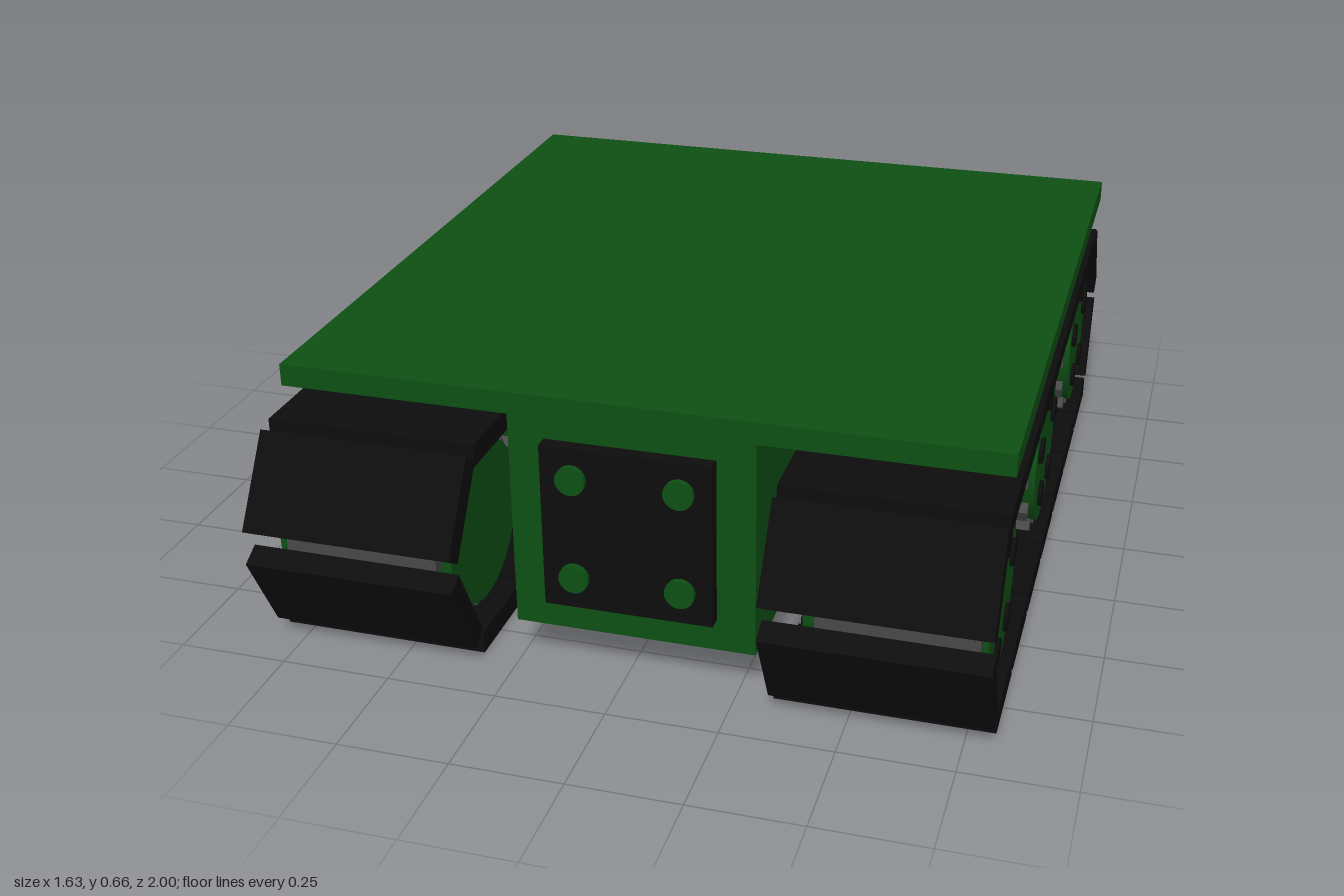
import * as THREE from 'three';

const green = new THREE.MeshStandardMaterial({ color: 0x0e5014 });
const black = new THREE.MeshStandardMaterial({ color: 0x0d0d0d });
const grey = new THREE.MeshStandardMaterial({ color: 0x484848 });

function add(parent, name, geometry, material, x = 0, y = 0, z = 0) {
  const mesh = new THREE.Mesh(geometry, material);
  mesh.name = name;
  mesh.position.set(x, y, z);
  parent.add(mesh);
  return mesh;
}

// Box given by its lower and upper corners
function addBox(parent, name, material, [x0, y0, z0], [x1, y1, z1]) {
  return add(parent, name, new THREE.BoxGeometry(x1 - x0, y1 - y0, z1 - z0), material,
    (x0 + x1) / 2, (y0 + y1) / 2, (z0 + z1) / 2);
}

// Bolted plate on one end of the hull
function endPlate(z0, z1, boltTip) {
  const group = new THREE.Group();
  group.name = 'endPlate';
  addBox(group, 'plate', black, [-0.17, 0.18, z0], [0.205, 0.56, z1]);
  const outer = boltTip > 0 ? z1 : z0;
  const bolt = new THREE.CylinderGeometry(0.033, 0.033, Math.abs(boltTip - outer) * 2, 24).rotateX(Math.PI / 2);
  for (const x of [-0.1, 0.135])
    for (const y of [0.255, 0.49]) add(group, 'bolt', bolt, green, x, y, outer);
  return group;
}

// Drum with 12 drive bars and five dark spots on the outer face
function wheel(xIn, xOut, barIn, barOut) {
  const group = new THREE.Group();
  group.name = 'wheel';
  const side = Math.sign(xOut);
  const drum = new THREE.CylinderGeometry(0.187, 0.187, Math.abs(xOut - xIn), 40).rotateZ(Math.PI / 2);
  add(group, 'drum', drum, green, (xIn + xOut) / 2);
  const bar = new THREE.BoxGeometry(Math.abs(barOut - barIn), 0.05, 0.035);
  for (let i = 0; i < 12; i++) {
    const a = i * Math.PI / 6;
    add(group, 'driveBar', bar, grey, (barIn + barOut) / 2, 0.19 * Math.cos(a), 0.19 * Math.sin(a)).rotation.x = a;
  }
  const spot = new THREE.CylinderGeometry(0.031, 0.031, 0.012, 24).rotateZ(Math.PI / 2);
  for (let i = 0; i < 5; i++) {
    const a = i * Math.PI * 0.4;
    add(group, 'wheelSpot', spot, black, xOut + side * 0.003, 0.122 * Math.cos(a), 0.122 * Math.sin(a));
  }
  return group;
}

// Loop of separate flat plates: [y, z, tilt in degrees]
function track(x) {
  const group = new THREE.Group();
  group.name = 'track';
  const links = [
    [0.4, 0.917, 57], [0.153, 0.925, -62],
    [0.39, -0.917, -57], [0.158, -0.925, 67],
  ];
  for (const z of [0.727, 0.487, 0.24, -0.003, -0.246, -0.487, -0.727]) links.push([0.49, z, 0]);
  for (let i = 0; i < 7; i++) links.push([0.028, 0.735 - i * 0.248, 0]);
  const plate = new THREE.BoxGeometry(0.48, 0.052, 0.225);
  for (const [y, z, tilt] of links)
    add(group, 'trackLink', plate, black, x, y, z).rotation.x = THREE.MathUtils.degToRad(tilt);
  return group;
}

export function createModel() {
  const model = new THREE.Group();
  model.name = 'trackedVehicle';

  // Hull and flat deck
  addBox(model, 'hull', green, [-0.25, 0.105, -0.828], [0.29, 0.612, 0.85]);
  addBox(model, 'deck', green, [-0.765, 0.61, -0.82], [0.815, 0.66, 0.855]);
  model.add(endPlate(0.84, 0.882, 0.895), endPlate(-0.875, -0.82, -0.89));

  // Running gear
  model.add(track(-0.575), track(0.57));
  for (const z of [0.727, 0.005, -0.7]) {
    const right = wheel(-0.37, -0.775, -0.393, -0.743);
    const left = wheel(0.406, 0.79, 0.437, 0.777);
    for (const w of [right, left]) {
      w.position.set(0, 0.267, z);
      model.add(w);
    }
  }
  return model;
}
